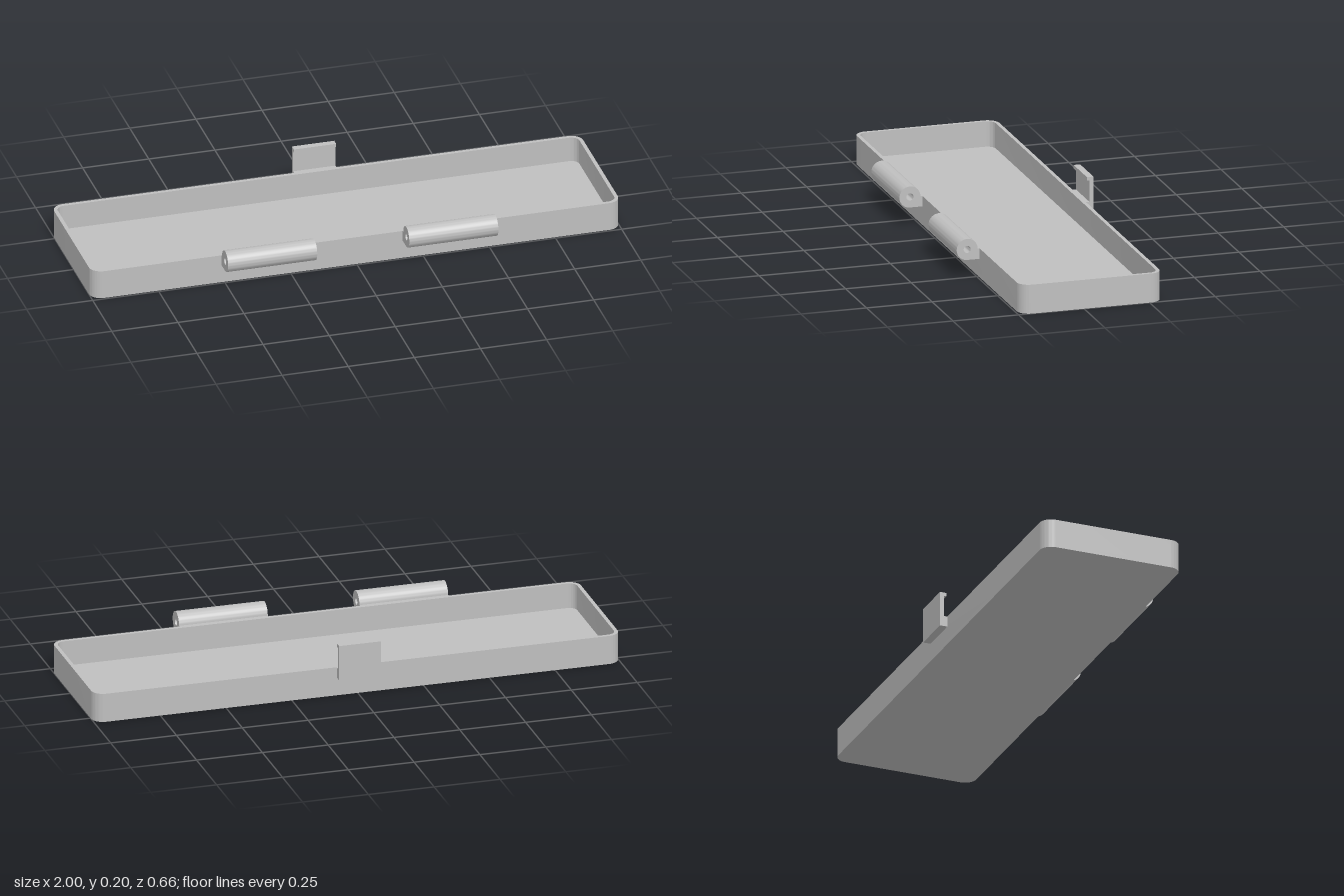
import * as THREE from 'three';
import { toCreasedNormals } from 'three/addons/utils/BufferGeometryUtils.js';

const HEIGHT = 0.11, FLOOR = 0.014, WALL = 0.014;
const FRONT = 0.243, BACK = -0.3, RADIUS = 0.045;

// Rounded rectangle of the tray plan, inset by a distance (shape y = -z)
function trayOutline(inset, target) {
  const r = RADIUS - inset, x = 1 - inset, y0 = -FRONT + inset, y1 = -BACK - inset;
  target.absarc(x - r, y0 + r, r, -Math.PI / 2, 0);
  target.absarc(x - r, y1 - r, r, 0, Math.PI / 2);
  target.absarc(-x + r, y1 - r, r, Math.PI / 2, Math.PI);
  target.absarc(-x + r, y0 + r, r, Math.PI, Math.PI * 1.5);
  target.closePath();
  return target;
}

function extrude(shape, depth) {
  return new THREE.ExtrudeGeometry(shape, { depth, bevelEnabled: false, curveSegments: 16 });
}

// Side profile (shape x = -z) extruded along x from x0 to x1
function extrudeAlongX(shape, x0, x1) {
  const g = extrude(shape, x1 - x0).rotateY(Math.PI / 2).translate(x0, 0, 0);
  return toCreasedNormals(g, 0.5);
}

export function createModel() {
  const group = new THREE.Group();
  const grey = new THREE.MeshStandardMaterial({ color: 0xbfbfbf });
  grey.name = 'plain grey';

  const add = (name, geometry) => {
    const mesh = new THREE.Mesh(geometry, grey);
    mesh.name = name;
    group.add(mesh);
  };

  // Tray floor and rim wall
  const floor = extrude(trayOutline(0, new THREE.Shape()), FLOOR).rotateX(-Math.PI / 2);
  add('trayFloor', toCreasedNormals(floor, 0.5));
  const rim = trayOutline(0, new THREE.Shape());
  rim.holes.push(trayOutline(WALL, new THREE.Path()));
  const wall = extrude(rim, HEIGHT - FLOOR).rotateX(-Math.PI / 2).translate(0, FLOOR, 0);
  add('trayWall', toCreasedNormals(wall, 0.5));

  // Hinge knuckles with pin holes along the front
  const knuckle = new THREE.Shape();
  knuckle.moveTo(-0.24, 0.07);
  knuckle.lineTo(-0.24, 0.11);
  knuckle.absarc(-0.29, 0.11, 0.04, 0, Math.PI * 1.5);
  knuckle.closePath();
  knuckle.holes.push(new THREE.Path().absarc(-0.29, 0.11, 0.0135, 0, Math.PI * 2));
  add('leftHinge', extrudeAlongX(knuckle, 0.174, 0.511));
  add('rightHinge', extrudeAlongX(knuckle, -0.511, -0.174));

  // Hooked latch on the back
  const latch = new THREE.Shape([
    [0.298, 0.07], [0.329, 0.07], [0.329, 0.204], [0.304, 0.204],
    [0.304, 0.191], [0.313, 0.191], [0.313, 0.11], [0.298, 0.11],
  ].map(([x, y]) => new THREE.Vector2(x, y)));
  add('latch', extrudeAlongX(latch, -0.08, 0.08));

  return group;
}
